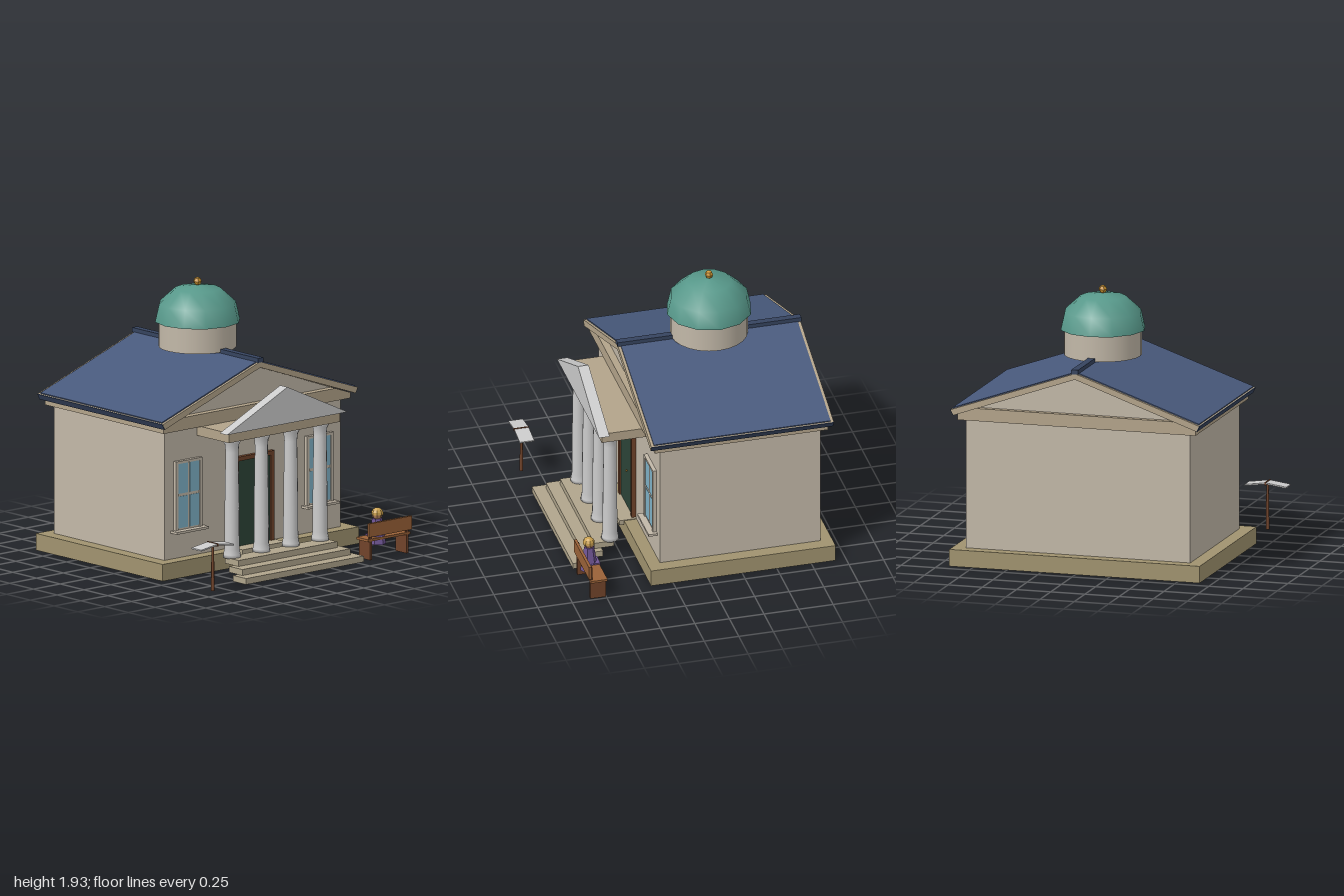
import * as THREE from 'three';

const mat = (color, flat = false) => new THREE.MeshStandardMaterial({ color, flatShading: flat });
const M = {
  wall: mat(0xc2b8a8), trim: mat(0xb3a48a), base: mat(0xa0936f), step: mat(0xb0a58c),
  stone: mat(0xcccccc), roof: mat(0x48597c), ridge: mat(0x36445f), dome: mat(0x57988a),
  gold: mat(0xcf952f, true), glass: mat(0x7fb2c8), door: mat(0x2c4438), wood: mat(0x9a6238),
  darkWood: mat(0x70432a), robe: mat(0x6f5594, true), skin: mat(0xb5835a, true), hair: mat(0xc9a04e, true),
};

function add(parent, name, geometry, material, x = 0, y = 0, z = 0) {
  const mesh = new THREE.Mesh(geometry, material);
  mesh.name = name;
  mesh.position.set(x, y, z);
  parent.add(mesh);
  return mesh;
}

// Box given by its limits on each axis
function box(parent, name, material, x0, x1, y0, y1, z0, z1) {
  return add(parent, name, new THREE.BoxGeometry(x1 - x0, y1 - y0, z1 - z0), material,
    (x0 + x1) / 2, (y0 + y1) / 2, (z0 + z1) / 2);
}

// Outline in x and y, extruded from z0 to z1
function prism(parent, name, material, points, z0, z1) {
  const shape = new THREE.Shape(points.map(([x, y]) => new THREE.Vector2(x, y)));
  const geometry = new THREE.ExtrudeGeometry(shape, { depth: z1 - z0, bevelEnabled: false });
  return add(parent, name, geometry, material, 0, 0, z0);
}

function lathe(points, sides) {
  return new THREE.LatheGeometry(points.map(([r, y]) => new THREE.Vector2(r, y)), sides);
}

function group(parent, name, x = 0, y = 0, z = 0) {
  const g = new THREE.Group();
  g.name = name;
  g.position.set(x, y, z);
  parent.add(g);
  return g;
}

function addHall(parent) {
  const hall = group(parent, 'hall');
  box(hall, 'plinth', M.base, -0.915, 0.915, 0, 0.12, -0.925, 0.41);
  box(hall, 'walls', M.wall, -0.82, 0.82, 0.12, 1.05, -0.84, 0.32);
  prism(hall, 'cornice', M.trim,
    [[-0.87, 1.04], [0.87, 1.04], [0.87, 1.08], [0.73, 1.13], [-0.73, 1.13], [-0.87, 1.08]], -0.88, 0.37);
  prism(hall, 'gable', M.wall, [[-0.76, 1.12], [0.76, 1.12], [0, 1.395]], -0.84, 0.32);

  // Roof slopes: trim board below, covering above, gutter along the eave
  for (const s of [-1, 1]) {
    const side = (pts) => pts.map(([x, y]) => [s * x, y]);
    prism(hall, 'rakeBoard', M.trim,
      side([[0, 1.434], [0.908, 1.118], [0.888, 1.078], [0, 1.392]]), -0.915, 0.405);
    prism(hall, 'roofSlope', M.roof,
      side([[0, 1.442], [0.9, 1.129], [0.898, 1.12], [0, 1.432]]), -0.893, 0.385);
    prism(hall, 'gutter', M.ridge,
      side([[0.907, 1.119], [0.912, 1.117], [0.892, 1.077], [0.887, 1.079]]), -0.913, 0.403);
  }
  box(hall, 'ridgeCap', M.ridge, -0.025, 0.025, 1.43, 1.462, -0.92, 0.41);
}

function addDome(parent) {
  const dome = group(parent, 'cupola', 0, 0, -0.257);
  add(dome, 'drum', new THREE.CylinderGeometry(0.273, 0.273, 0.185, 24), M.wall, 0, 1.53, 0);
  add(dome, 'domeShell', lathe([[0, 1.62], [0.302, 1.62]], 12), M.dome).material = M.dome.clone();
  dome.children[1].material.side = THREE.DoubleSide;
  add(dome, 'domeTop', lathe([[0.302, 1.62], [0.273, 1.747], [0.16, 1.85], [0, 1.876]], 12), M.dome);
  add(dome, 'finial', new THREE.SphereGeometry(0.03, 6, 4), M.gold, 0, 1.9, 0);
}

function addPortico(parent) {
  const portico = group(parent, 'portico');
  const profile = [[0, 0.125], [0.063, 0.125], [0.06, 0.15], [0.053, 0.19], [0.051, 0.5],
    [0.045, 0.88], [0.05, 0.93], [0.062, 0.955], [0.062, 0.97], [0, 0.97]];
  for (let i = 0; i < 4; i++) {
    add(portico, 'column', lathe(profile, 14), M.stone, (i - 1.5) * 0.2735, 0, 0.57);
  }
  box(portico, 'entablature', M.trim, -0.517, 0.517, 0.97, 1.04, 0.32, 0.658);
  prism(portico, 'pediment', M.stone, [[-0.562, 1.04], [0.562, 1.04], [0, 1.3]], 0.613, 0.69);
  for (let i = 0; i < 3; i++) {
    const w = 0.548 - i * 0.044, z = 0.735 - i * 0.09;
    box(portico, 'step', M.step, -w, w, i * 0.043, (i + 1) * 0.043, z, z + 0.14);
  }
}

function addDoor(parent) {
  const door = group(parent, 'door');
  box(door, 'threshold', M.step, -0.2, 0.2, 0.09, 0.125, 0.32, 0.445);
  box(door, 'lintel', M.darkWood, -0.18, 0.18, 0.735, 0.765, 0.31, 0.35);
  for (const s of [-1, 1]) {
    box(door, 'jamb', M.darkWood, s * 0.165 - 0.015, s * 0.165 + 0.015, 0.12, 0.735, 0.31, 0.35);
    box(door, 'doorLeaf', M.door, s * 0.076 - 0.074, s * 0.076 + 0.074, 0.12, 0.735, 0.31, 0.338);
  }
  add(door, 'knob', new THREE.SphereGeometry(0.008, 6, 4), M.gold, 0.02, 0.415, 0.345);
}

function addWindow(parent, x) {
  const win = group(parent, 'window', x);
  box(win, 'windowFrame', M.wall, -0.123, 0.123, 0.32, 0.815, 0.31, 0.338);
  box(win, 'windowSill', M.wall, -0.15, 0.15, 0.305, 0.322, 0.31, 0.385);
  for (const s of [-1, 1]) {
    box(win, 'sideCasing', M.wall, s * 0.111 - 0.012, s * 0.111 + 0.012, 0.32, 0.815, 0.33, 0.347);
    for (const [y0, y1] of [[0.335, 0.562], [0.582, 0.797]]) {
      box(win, 'pane', M.glass, s * 0.054 - 0.045, s * 0.054 + 0.045, y0, y1, 0.33, 0.341);
    }
  }
  box(win, 'topCasing', M.wall, -0.123, 0.123, 0.797, 0.815, 0.33, 0.347);
}

// Slanted reading board on a post
function addStand(parent) {
  const stand = group(parent, 'readingStand', -0.847, 0, 0.868);
  add(stand, 'post', new THREE.CylinderGeometry(0.009, 0.013, 0.33, 8), M.darkWood, 0, 0.165, 0);
  for (const s of [-1, 1]) {
    const board = add(stand, 'board', new THREE.BoxGeometry(0.152, 0.01, 0.105), M.stone, s * 0.077, 0.327, 0);
    board.rotation.z = -s * 0.14;
  }
  box(stand, 'spine', M.darkWood, -0.005, 0.005, 0.325, 0.346, -0.054, 0.054);
}

function addBench(parent) {
  const bench = group(parent, 'bench', 0.8);
  box(bench, 'seat', M.wood, -0.2, 0.2, 0.133, 0.15, 0.745, 0.865);
  box(bench, 'backrest', M.wood, -0.2, 0.2, 0.168, 0.265, 0.86, 0.88);
  for (const x of [-0.17, 0.17]) {
    box(bench, 'benchLeg', M.darkWood, x - 0.011, x + 0.011, 0, 0.133, 0.752, 0.865);
    box(bench, 'backPost', M.darkWood, x - 0.011, x + 0.011, 0.13, 0.25, 0.85, 0.862);
  }

  // Seated figure facing the hall
  const figure = group(parent, 'seatedFigure', 0.737, 0, 0.808);
  add(figure, 'robe', new THREE.CylinderGeometry(0.036, 0.064, 0.18, 6), M.robe, 0, 0.185, 0);
  box(figure, 'lap', M.robe, -0.05, 0.05, 0.095, 0.16, -0.07, 0);
  add(figure, 'head', new THREE.SphereGeometry(0.038, 8, 6), M.skin, 0, 0.303, 0);
  add(figure, 'hair', new THREE.SphereGeometry(0.043, 8, 4, 0, Math.PI * 2, 0, Math.PI * 0.55), M.hair, 0, 0.309, 0.003);
}

export function createModel() {
  const model = new THREE.Group();
  model.name = 'porticoHall';
  const building = group(model, 'building', 0.006);
  addHall(building);
  addDome(building);
  addPortico(building);
  addDoor(building);
  for (const x of [-0.61, 0.61]) addWindow(building, x);
  addStand(model);
  addBench(model);
  return model;
}
